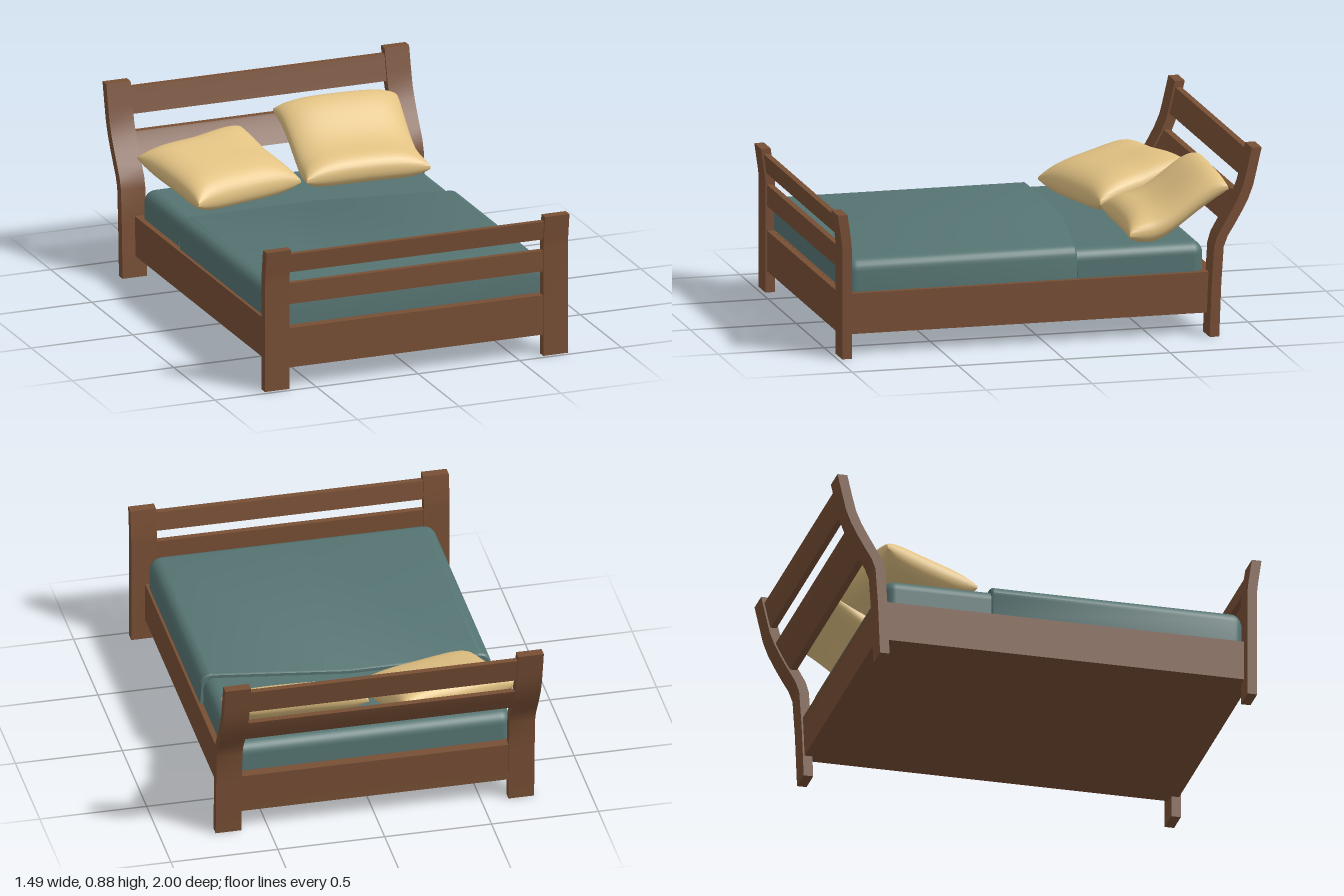
import * as THREE from 'three';
import { mergeVertices, toCreasedNormals } from 'three/addons/utils/BufferGeometryUtils.js';
import { RoundedBoxGeometry } from 'three/addons/geometries/RoundedBoxGeometry.js';
import { ParametricGeometry } from 'three/addons/geometries/ParametricGeometry.js';

const mat = (name, color, side = THREE.FrontSide) => {
  const m = new THREE.MeshStandardMaterial({ color, side });
  m.name = name;
  return m;
};

export function createModel() {
  const bed = new THREE.Group();
  bed.name = 'bed';
  const wood = mat('brown wood', 0x784f35);
  const teal = mat('teal bedding', 0x557472, THREE.DoubleSide);
  const cream = mat('cream pillow', 0xe2c283);

  const add = (name, geometry, material, x = 0, y = 0, z = 0) => {
    const mesh = new THREE.Mesh(geometry, material);
    mesh.name = name;
    mesh.position.set(x, y, z);
    bed.add(mesh);
    return mesh;
  };

  // Side profiles of the posts as [height, depth] centre lines
  const headLine = [[0, -0.777], [0.25, -0.787], [0.42, -0.798], [0.47, -0.815], [0.52, -0.845],
    [0.58, -0.88], [0.64, -0.912], [0.7, -0.936], [0.77, -0.953], [0.875, -0.977]];
  const footLine = [[0, 0.957], [0.52, 0.957], [0.56, 0.961], [0.68, 0.978]];

  const lineAt = (line, y) => {
    let i = 1;
    while (i < line.length - 1 && line[i][0] < y) i++;
    const [ya, za] = line[i - 1], [yb, zb] = line[i];
    return za + (zb - za) * (y - ya) / (yb - ya);
  };

  // A board that follows a profile between two heights, extruded across x
  const board = (line, y0, y1, thick, width) => {
    const ys = [y0, ...line.map(p => p[0]).filter(y => y > y0 + 0.005 && y < y1 - 0.005), y1];
    const front = [], back = [];
    for (const y of ys) {
      const a = Math.max(y - 0.02, 0), b = Math.min(y + 0.02, line.at(-1)[0]);
      const slope = (lineAt(line, b) - lineAt(line, a)) / (b - a);
      const half = thick / 2 * Math.hypot(1, slope);
      const z = lineAt(line, y);
      front.push(new THREE.Vector2(z + half, y));
      back.unshift(new THREE.Vector2(z - half, y));
    }
    const g = new THREE.ExtrudeGeometry(new THREE.Shape([...front, ...back]), { depth: width, bevelEnabled: false });
    g.translate(0, 0, -width / 2);
    g.rotateY(-Math.PI / 2);
    return toCreasedNormals(g, 0.6);
  };

  // Posts and slats
  for (const [side, s] of [['left', 1], ['right', -1]]) {
    add(side + 'HeadPost', board(headLine, 0, 0.875, 0.045, 0.12), wood, s * 0.685);
    add(side + 'FootPost', board(footLine, 0, 0.675, 0.045, 0.12), wood, s * 0.685);
  }
  for (const [name, line, y0, y1] of [
    ['headTopSlat', headLine, 0.725, 0.845], ['headLowerSlat', headLine, 0.525, 0.65],
    ['headRail', headLine, 0.1, 0.29],
    ['footTopSlat', footLine, 0.56, 0.65], ['footLowerSlat', footLine, 0.405, 0.505],
    ['footRail', footLine, 0.1, 0.29]]) {
    add(name, board(line, y0, y1, 0.028, 1.27), wood);
  }

  // Base with side rails
  add('base', new THREE.BoxGeometry(1.36, 0.19, 1.72), wood, 0, 0.195, 0.082);

  // Mattress, sunk slightly into the base
  add('mattress', new RoundedBoxGeometry(1.31, 0.185, 1.68, 5, 0.055), teal, 0, 0.3325, 0.085);

  // Blanket: an arched section carried from a slanted hem to a rounded foot
  const w = 0.67, top = 0.445, low = 0.295, r = 0.055, foot = 0.94;
  const section = [[w, low]];
  for (let i = 0; i <= 6; i++) {
    const a = i / 6 * Math.PI / 2;
    section.push([w - r + r * Math.cos(a), top - r + r * Math.sin(a)]);
  }
  section.push([0, top], ...section.map(([x, y]) => [-x, y]).reverse());
  const rows = [{ t: 0, inset: 0, drop: true }, { t: 0, inset: 0.006 }, { t: 0.008, inset: 0 }];
  for (let i = 0; i <= 6; i++) {
    const a = i / 6 * Math.PI / 2;
    rows.push({ z: foot - r + r * Math.sin(a), inset: r * (1 - Math.cos(a)) });
  }
  rows.push({ z: foot, inset: r, drop: true });
  const hem = x => -0.25 + 0.1 * THREE.MathUtils.clamp(x / 0.62, 0, 1);
  const blanket = new ParametricGeometry((u, v, p) => {
    const [x, y] = section[Math.round(u * (section.length - 1))];
    const row = rows[Math.round(v * (rows.length - 1))];
    p.set(x * (w - row.inset) / w,
      row.drop ? low : Math.max(low, y - row.inset * (y - low) / (top - low)),
      row.z ?? hem(x) + row.t);
  }, section.length - 1, rows.length - 1);
  add('blanket', toCreasedNormals(blanket, 0.7), teal);

  // Pillow: a puffed square with pinched sides, lifted by a rule toward the headboard
  const pillow = (halfW, halfD, puff, lift) => {
    const box = new THREE.BoxGeometry(2, 2, 2, 24, 1, 24);
    box.deleteAttribute('normal');
    box.deleteAttribute('uv');
    const g = mergeVertices(box);
    const p = g.attributes.position;
    for (let i = 0; i < p.count; i++) {
      const u = Math.sin(p.getX(i) * Math.PI / 2), v = Math.sin(p.getZ(i) * Math.PI / 2);
      const full = Math.sqrt(Math.max(0, (1 - u ** 4) * (1 - v ** 4)));
      p.setXYZ(i,
        u * halfW * (1 - 0.05 * (1 - v * v)),
        Math.sign(p.getY(i)) * (0.006 + puff * full) + lift(u, v),
        v * halfD * (1 - 0.04 * (1 - u * u)));
    }
    g.computeVertexNormals();
    return g;
  };
  const rightPillow = pillow(0.29, 0.235, 0.085,
    (u, v) => 0.05 * (1 - v) + 0.03 * Math.max(0, u) * Math.max(0, -v));
  add('rightPillow', rightPillow, cream, -0.335, 0.475, -0.59).rotation.y = 0.25;
  const leftPillow = pillow(0.3, 0.23, 0.078,
    (u, v) => 0.17 * THREE.MathUtils.smoothstep(-v, -0.6, 1) + 0.015 * (1 - v) - 0.01 * u * u);
  add('leftPillow', leftPillow, cream, 0.34, 0.48, -0.65).rotation.y = -0.04;

  return bed;
}
